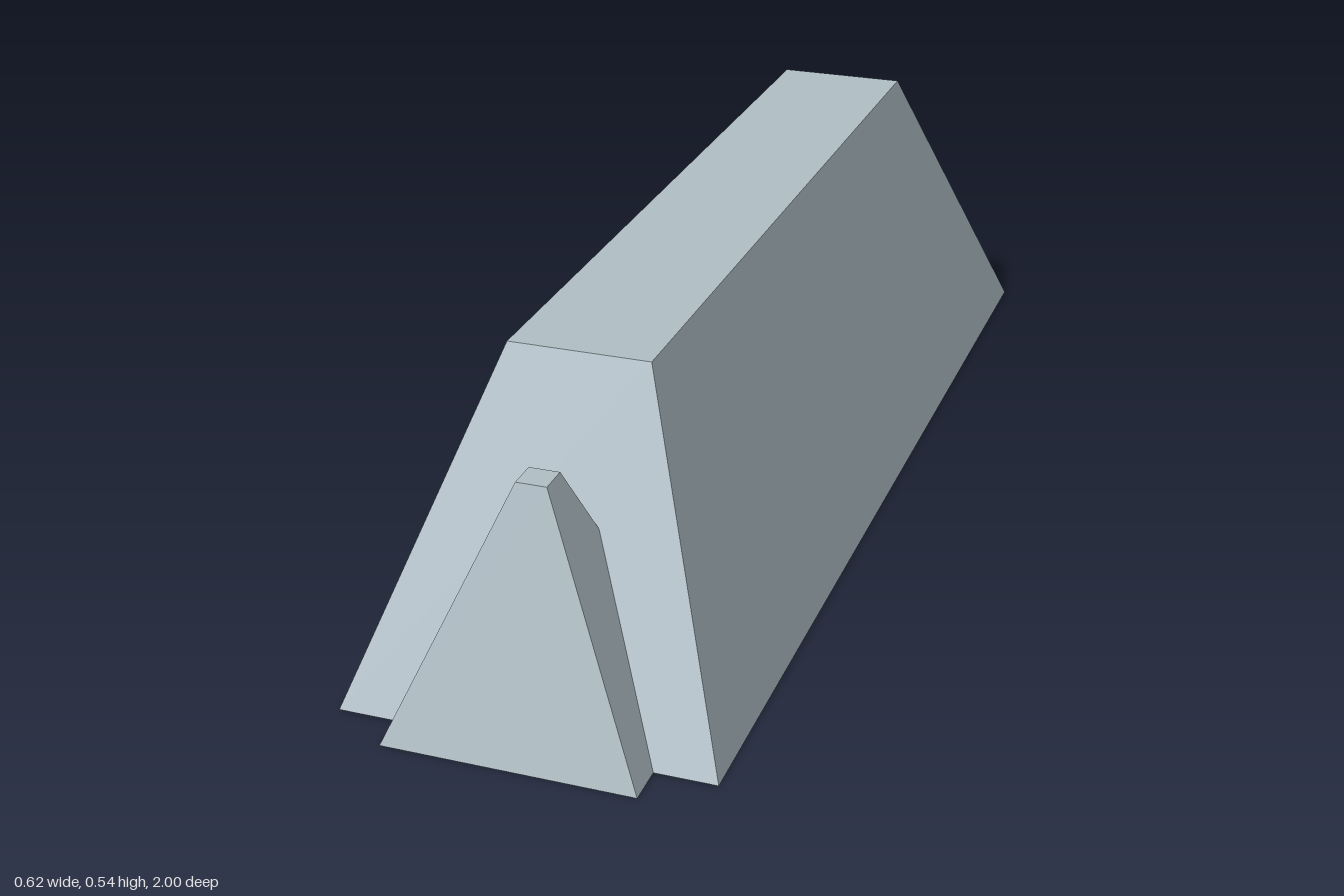
import * as THREE from 'three';

// Box whose top and bottom rectangles differ: [halfWidth, zBack, zFront]
function taperedBlock(name, height, bottom, top, material) {
  const geometry = new THREE.BoxGeometry(2, 1, 1);
  const p = geometry.attributes.position;
  for (let i = 0; i < p.count; i++) {
    const isTop = p.getY(i) > 0;
    const [halfWidth, zBack, zFront] = isTop ? top : bottom;
    p.setXYZ(i, p.getX(i) * halfWidth, isTop ? height : 0, p.getZ(i) > 0 ? zFront : zBack);
  }
  geometry.computeVertexNormals();
  const mesh = new THREE.Mesh(geometry, material);
  mesh.name = name;
  return mesh;
}

export function createModel() {
  const model = new THREE.Group();
  model.name = 'taperedBarrier';
  const paleGrey = new THREE.MeshStandardMaterial({ color: 0xb0bec5, flatShading: true });
  paleGrey.name = 'paleGrey';

  // Long body with sloping sides and ends
  model.add(taperedBlock('body', 0.542, [0.309, -1, 0.933], [0.117, -0.743, 0.678], paleGrey));
  // Small wedge set into the front slope
  model.add(taperedBlock('frontWedge', 0.413, [0.207, 0.69, 1], [0.025, 0.82, 0.87], paleGrey));
  return model;
}
